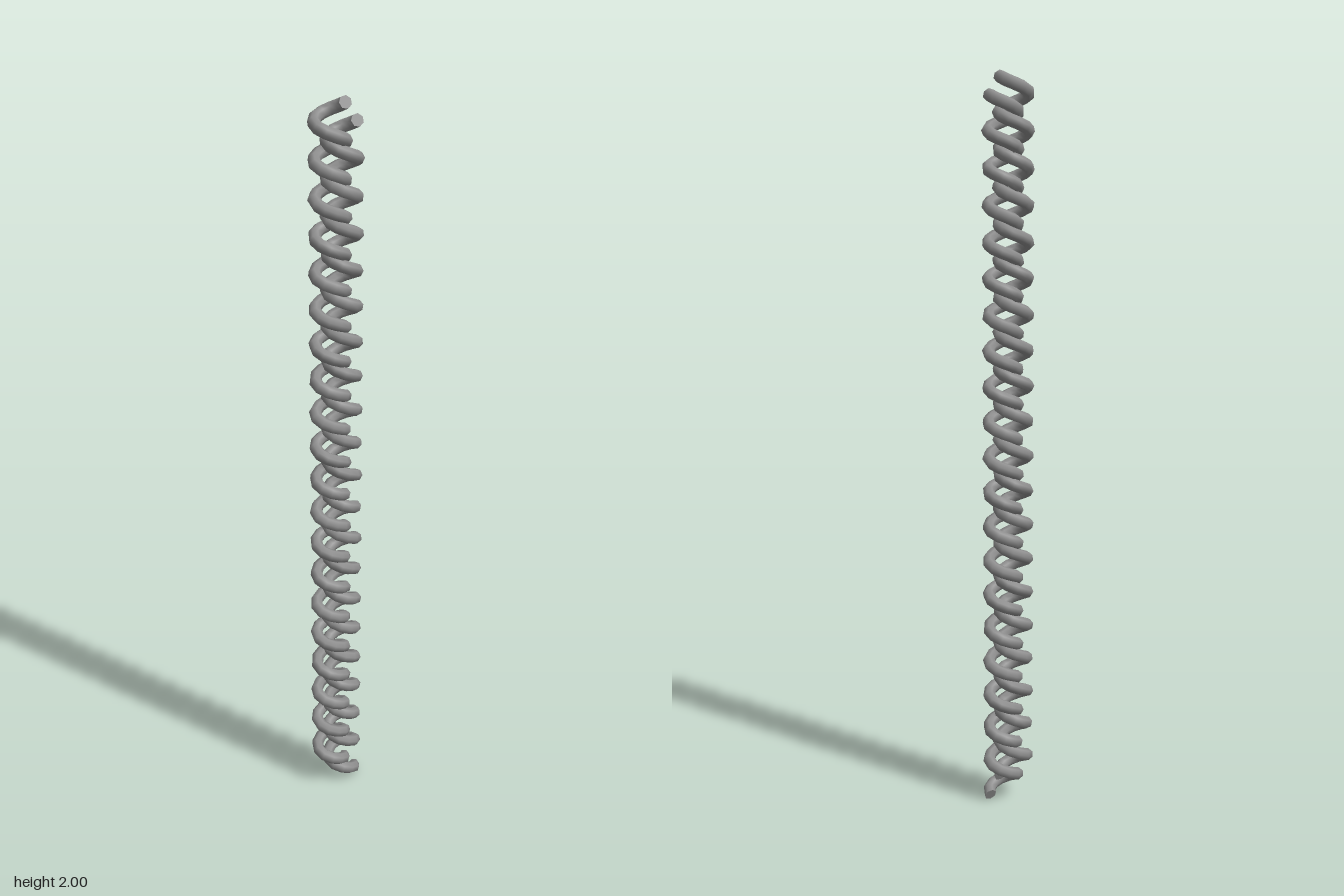
import * as THREE from 'three';

const TURNS = 20, PITCH = 0.0961, SEGMENTS = 211;
const RADIUS_X = 0.0405, RADIUS_Z = 0.036, WIRE_RADIUS = 0.0172, SIDES = 7;

// Rising, slightly oval coil that starts and ends on its +x side
class Coil extends THREE.Curve {
  constructor() {
    super();
    this.arcLengthDivisions = 2400;
  }
  getPoint(t, target = new THREE.Vector3()) {
    const a = t * TURNS * Math.PI * 2;
    return target.set(RADIUS_X * Math.cos(a), t * TURNS * PITCH, RADIUS_Z * Math.sin(a));
  }
}

function makeStrand(name, x, y, z, material) {
  const strand = new THREE.Group();
  strand.name = name;
  const curve = new Coil();
  const wire = new THREE.Mesh(
    new THREE.TubeGeometry(curve, SEGMENTS, WIRE_RADIUS, SIDES, false), material);
  wire.name = 'coiledWire';
  strand.add(wire);

  // Flat caps closing both wire ends
  for (const [t, dir] of [[0, -1], [1, 1]]) {
    const cap = new THREE.Mesh(new THREE.CircleGeometry(WIRE_RADIUS, SIDES), material);
    cap.name = t ? 'topEndCap' : 'bottomEndCap';
    cap.position.copy(curve.getPointAt(t));
    // Turn the cap so its corners meet the wire's corners
    const { normals, binormals } = wire.geometry;
    const i = t * SEGMENTS;
    const out = curve.getTangentAt(t).multiplyScalar(dir);
    const across = normals[i].clone().negate();
    const up = binormals[i].clone().multiplyScalar(-dir);
    cap.quaternion.setFromRotationMatrix(new THREE.Matrix4().makeBasis(across, up, out));
    strand.add(cap);
  }
  strand.position.set(x, y, z);
  return strand;
}

export function createModel() {
  const model = new THREE.Group();
  model.name = 'twistedCoils';
  const material = new THREE.MeshStandardMaterial({ color: 0x8e8e8e, side: THREE.DoubleSide });

  // Two interlocked strands, half a pitch apart in height
  model.add(makeStrand('rightStrand', -0.0175, 0.063, 0.004, material));
  model.add(makeStrand('leftStrand', 0.0175, 0.0155, -0.005, material));
  return model;
}
